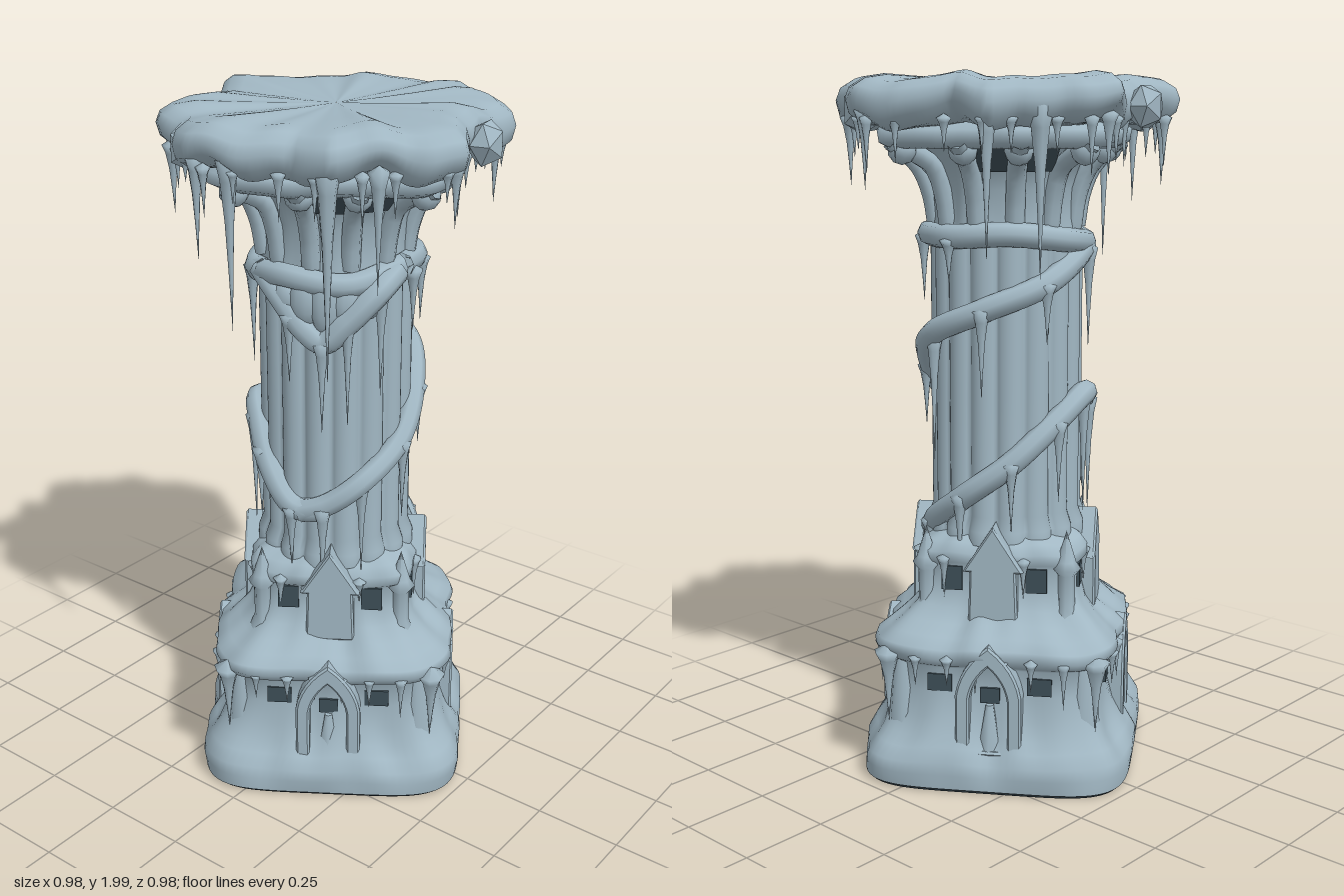
import * as THREE from 'three';
import { mergeGeometries } from 'three/addons/utils/BufferGeometryUtils.js';

const { PI, cos, sin, abs, pow } = Math;
const DEG = PI / 180;
const FACE = 56.5 * DEG; // direction of the first flat side; the others follow every 90 degrees
const CORNER = 11.5 * DEG;

const ice = new THREE.MeshStandardMaterial({ color: 0xa1b7c3 });
ice.name = 'paleIce';
const dark = new THREE.MeshStandardMaterial({ color: 0x3d4e57 });
dark.name = 'darkStone';

let seed = 7;
const rand = () => (seed = (seed * 16807) % 2147483647) / 2147483647;
const lump = (t, y) => sin(7 * t + 9 * y) * 0.5 + sin(12 * t - 14 * y + 1) * 0.3 + sin(19 * t + 2) * 0.2;

// Radius of a rounded square (n around 5) or a circle (n = 2) at angle t
const squircle = (t, s, n) => {
  const a = t - FACE;
  return s / pow(pow(abs(cos(a)), n) + pow(abs(sin(a)), n), 1 / n);
};

// Closed rings stacked upward; at(ring, angle) returns [radius, y]
function loft(rings, at, seg = 128) {
  const pos = [], idx = [];
  rings.forEach((ring, i) => {
    for (let j = 0; j < seg; j++) {
      const t = (j / seg) * 2 * PI, [r, y] = at(ring, t);
      pos.push(r * cos(t), y, r * sin(t));
      if (i === rings.length - 1) continue;
      const a = i * seg + j, b = i * seg + ((j + 1) % seg);
      idx.push(a, a + seg, b, b, a + seg, b + seg);
    }
  });
  const g = new THREE.BufferGeometry();
  g.setAttribute('position', new THREE.Float32BufferAttribute(pos, 3));
  g.setIndex(idx);
  g.computeVertexNormals();
  return g;
}

// Turns a geometry so that its +z faces outward at angle t, then moves it out and up
const place = (g, t, r, y) => g.rotateY(PI / 2 - t).translate(r * cos(t), y, r * sin(t));

// Hanging icicle with a thick root and a thin, slightly crooked tip
function icicle(t, r, top, bottom, w) {
  const h = top - bottom;
  const profile = [[0, -h], [w * 0.22, -h * 0.65], [w * 0.45, -h * 0.35], [w * 0.8, -h * 0.12], [w * 1.2, 0], [0, w * 0.7]];
  const g = new THREE.LatheGeometry(profile.map(([x, y]) => new THREE.Vector2(x, y)), 7);
  return place(g, t, r, top);
}

// Tube along points given as [angle in degrees, radius, y]
function tube(points, radius, seg = 60) {
  const curve = new THREE.CatmullRomCurve3(points.map(([a, r, y]) =>
    new THREE.Vector3(r * cos(a * DEG), y, r * sin(a * DEG))));
  return new THREE.TubeGeometry(curve, seg, radius, 8);
}

// Pointed arch outline
function archPath(shape, w, spring, peak) {
  shape.moveTo(-w, 0);
  shape.lineTo(w, 0);
  shape.lineTo(w, spring);
  shape.quadraticCurveTo(w * 0.85, spring + (peak - spring) * 0.6, 0, peak);
  shape.quadraticCurveTo(-w * 0.85, spring + (peak - spring) * 0.6, -w, spring);
  return shape;
}

// Cap outline as [degrees, radius]; the second half repeats it turned by 180 degrees
const CAP = [[-77.3, 0.5], [-64, 0.47], [-57, 0.44], [-49, 0.475], [-38, 0.484], [-28, 0.43], [-19, 0.4], [-3, 0.41],
  [5, 0.45], [11.5, 0.5], [23, 0.48], [29, 0.45], [45, 0.44], [54, 0.476], [68, 0.42], [86, 0.476], [102.7, 0.5]];
function capRadius(t) {
  const d = (((t / DEG + 77.3) % 180) + 180) % 180 - 77.3;
  const i = Math.max(1, CAP.findIndex(p => p[0] >= d));
  const [a, ra] = CAP[i - 1], [b, rb] = CAP[i];
  return ra + ((rb - ra) * (d - a)) / (b - a);
}

export function createModel() {
  const model = new THREE.Group();
  const add = (name, geos, mat = ice) => {
    const list = [].concat(geos).map(g => (g.index ? g.toNonIndexed() : g));
    const mesh = new THREE.Mesh(list.length > 1 ? mergeGeometries(list) : [].concat(geos)[0], mat);
    mesh.name = name;
    model.add(mesh);
  };
  const sides = [0, 1, 2, 3].map(k => k * PI / 2);

  // Underside and dark lower rim
  add('underside', loft([[0, 0.001], [0, 0.38], [0.012, 0.388]], ([y, s], t) => [squircle(t, s, 5), y]), dark);

  // Two-tier pedestal: [y, half side, squareness, lumpiness]
  const pedestal = [[0.01, 0.389, 5, 0], [0.05, 0.392, 5, 0.006], [0.085, 0.388, 5, 0.012], [0.12, 0.365, 5, 0.016],
    [0.15, 0.345, 5, 0.016], [0.2, 0.325, 5, 0.012], [0.27, 0.312, 5, 0.005], [0.345, 0.312, 5, 0.005],
    [0.36, 0.335, 5, 0.012], [0.385, 0.352, 5, 0.015], [0.41, 0.347, 5, 0.012], [0.435, 0.315, 5, 0.012],
    [0.465, 0.28, 5, 0.015], [0.5, 0.248, 4.5, 0.012], [0.55, 0.23, 4.5, 0.006], [0.615, 0.226, 4.5, 0.004],
    [0.63, 0.242, 4.5, 0.01], [0.66, 0.242, 4.5, 0.01], [0.685, 0.222, 4, 0.01], [0.71, 0.2, 2, 0.004]];
  add('pedestal', loft(pedestal, ([y, s, n, k], t) => [squircle(t, s, n) + k * lump(t, y), y + k * 0.6 * lump(t + 1, y)]));

  // Arched niches, gabled houses and corner pinnacles
  const frames = [], niches = [], patches = [], houses = [], pinnacles = [];
  for (const q of sides) {
    const f = FACE + q, c = CORNER + q;
    const frame = archPath(new THREE.Shape(), 0.088, 0.17, 0.31);
    frame.holes.push(archPath(new THREE.Path(), 0.06, 0.16, 0.265));
    frames.push(place(new THREE.ExtrudeGeometry(frame, { depth: 0.05, bevelEnabled: true, bevelSize: 0.006,
      bevelThickness: 0.006, bevelSegments: 1, curveSegments: 6 }), f, 0.305, 0.11));
    frames.push(place(new THREE.CylinderGeometry(0.012, 0.035, 0.13, 6), f, 0.322, 0.18));
    niches.push(place(new THREE.BoxGeometry(0.055, 0.045, 0.008), f, 0.316, 0.27));
    for (const x of [-0.145, 0.14]) {
      patches.push(place(new THREE.BoxGeometry(0.07, 0.05, 0.008).translate(x, 0, 0), f, 0.312, 0.3));
      patches.push(place(new THREE.BoxGeometry(0.06, 0.07, 0.008).translate(x * 0.85, 0, 0), f, 0.23, 0.585));
    }
    const house = new THREE.Shape();
    [[-0.065, 0], [0.065, 0], [0.06, 0.15], [0.078, 0.15], [0, 0.27], [-0.078, 0.15], [-0.06, 0.15]]
      .forEach(([x, y], i) => (i ? house.lineTo(x, y) : house.moveTo(x, y)));
    houses.push(place(new THREE.ExtrudeGeometry(house, { depth: 0.09, bevelSize: 0.006, bevelThickness: 0.006,
      bevelSegments: 1 }), f, 0.175, 0.47));
    const post = [[0.055, 0], [0.04, 0.05], [0.025, 0.09], [0.025, 0.18], [0.042, 0.2], [0.028, 0.22], [0, 0.31]];
    pinnacles.push(place(new THREE.LatheGeometry(post.map(([x, y]) => new THREE.Vector2(x, y)), 8), c, 0.285, 0.42));
    // Buttress running down the corner below the ledge
    pinnacles.push(place(new THREE.CylinderGeometry(0.03, 0.055, 0.28, 8), c, 0.365, 0.25));
  }
  add('archFrames', frames);
  add('nicheShadows', niches, dark);
  add('wallPatches', patches, dark);
  add('gabledHouses', houses);
  add('cornerPinnacles', pinnacles);

  // Fluted shaft
  add('shaft', loft([0.68, 0.72, 0.76, 1.1, 1.5, 1.56].map(y => [y]),
    ([y], t) => [0.198 + 0.02 * pow(abs(cos(8 * t)), 0.7) + (y < 0.73 ? 0.015 : 0), y], 160));

  // Capital: flared core, dark hollows and curling ribs
  add('capitalCore', loft([[1.54, 0.215], [1.6, 0.205], [1.68, 0.21], [1.75, 0.235], [1.81, 0.29]],
    ([y, r], t) => [r + 0.006 * lump(t, y), y]));
  const ribs = [], hollows = [];
  for (let i = 0; i < 12; i++) {
    const a = 11.5 + i * 30, out = i % 3 ? 0.33 : 0.39;
    ribs.push(tube([[a, 0.2, 1.57], [a, 0.215, 1.66], [a, 0.25, 1.74], [a, out, 1.81]], 0.027, 10));
    ribs.push(place(new THREE.IcosahedronGeometry(0.04, 1), a * DEG, out - 0.04, 1.785));
    if (i % 3 !== 2) hollows.push(place(new THREE.BoxGeometry(0.085, 0.1, 0.008).rotateX(0.65), (a + 15) * DEG, 0.262, 1.77));
  }
  add('capitalRibs', ribs);
  add('capitalHollows', hollows, dark);

  // Square slab under the snow cap
  add('abacus', loft([[1.79, 0.001], [1.79, 0.31], [1.805, 0.335], [1.84, 0.34], [1.87, 0.3]],
    ([y, s], t) => [squircle(t, s, 4) + (s > 0.1 ? 0.012 * lump(t, 2) : 0), y]));

  // Ragged snow cap: [y, scale, droop]
  const cap = [[1.86, 0.001, 0], [1.85, 0.78, 0.01], [1.855, 0.9, 0.03], [1.885, 0.98, 0.03], [1.92, 1, 0.022],
    [1.95, 0.975, 0.015], [1.972, 0.9, 0.014], [1.98, 0.78, 0.014], [1.975, 0.5, 0.008], [1.972, 0.25, 0.003], [1.97, 0.001, 0]];
  add('snowCap', loft(cap, ([y, s, d], t) => [capRadius(t) * s, y + d * lump(t, 1)], 180));
  add('capLumps', [[-13, 0.425, 1.9, 0.065], [167, 0.425, 1.9, 0.065], [-62, 0.42, 1.89, 0.07], [118, 0.42, 1.89, 0.07]]
    .map(([a, r, y, s]) => place(new THREE.IcosahedronGeometry(s, 0).scale(0.95, 1, 0.8), a * DEG, r, y)));

  // Ice bands wound around the shaft
  const R = 0.222;
  add('neckRing', tube([[0, R, 1.56], [45, R, 1.53], [90, R, 1.545], [135, R, 1.525], [180, R, 1.54], [225, R, 1.56],
    [270, R, 1.55], [315, R, 1.55], [360, R, 1.56]], 0.034));
  add('upperBand', tube([[110, R, 1.54], [150, R, 1.51], [200, R, 1.42], [245, R, 1.35], [290, R + 0.02, 1.27], [325, R, 1.16],
    [360, R, 1.04], [395, R + 0.01, 0.95], [420, R, 0.88], [440, R, 0.85]], 0.034, 90));
  add('lowerBand', tube([[60, R, 0.86], [85, R, 0.86], [110, R, 0.95], [135, R, 1.06], [158, R + 0.015, 1.1], [190, R, 1.03],
    [225, R, 0.92], [260, R, 0.82], [300, R, 0.72], [325, R, 0.66]], 0.034, 90));
  add('frontDrape', tube([[5, R, 1.55], [25, R + 0.02, 1.51], [45, R + 0.01, 1.43], [62, R, 1.37], [75, R, 1.4],
    [95, R, 1.48], [120, R, 1.54]], 0.036));
  add('drapeSheet', [30, 45, 60, 75, 90].map((a, i) => place(
    new THREE.SphereGeometry(1, 10, 8).scale(0.045, 0.05 + 0.02 * (2 - abs(i - 2)), 0.03), a * DEG, R, 1.48)));

  // Icicles: large ones on the cap as [degrees, radius, top, bottom, width]
  const big = [[55.5, 0.425, 1.9, 1.32, 0.032], [215.6, 0.41, 1.9, 1.45, 0.032], [90, 0.44, 1.9, 1.44, 0.028],
    [-77, 0.46, 1.89, 1.68, 0.025], [12, 0.46, 1.88, 1.72, 0.022], [192, 0.45, 1.88, 1.72, 0.022], [235, 0.42, 1.88, 1.5, 0.026],
    [103, 0.46, 1.89, 1.62, 0.024], [38, 0.42, 1.88, 1.56, 0.024], [-45, 0.44, 1.87, 1.68, 0.024], [135, 0.44, 1.87, 1.68, 0.024]];
  add('longIcicles', big.map(([a, ...rest]) => icicle(a * DEG, ...rest)));
  const small = [];
  for (let i = 0; i < 26; i++) {
    const t = (i / 26) * 2 * PI + rand() * 0.1;
    small.push(icicle(t, capRadius(t) * 0.93, 1.87, 1.81 - rand() * 0.1, 0.017));
  }
  add('capIcicles', small);

  // Icicles on the pedestal ledges
  const ledge = [];
  for (let i = 0; i < 28; i++) {
    const t = CORNER + (i / 28) * 2 * PI, corner = i % 7 === 0;
    ledge.push(icicle(t, squircle(t, 0.342, 5), 0.38, corner ? 0.17 : 0.33 - rand() * 0.09, corner ? 0.034 : 0.017));
    if (i % 2 === 0) ledge.push(icicle(t, squircle(t, 0.238, 4.5), 0.645, 0.59 - rand() * 0.08, 0.018));
  }
  add('ledgeIcicles', ledge);

  // Icicles on the wound bands
  const hung = [[150, 1.51, 1.22], [200, 1.42, 1.25], [245, 1.35, 1.1], [288, 1.27, 0.9], [325, 1.16, 0.98], [0, 1.04, 0.8],
    [35, 0.95, 0.66], [62, 0.87, 0.6], [85, 0.86, 0.66], [118, 1.0, 0.78], [140, 1.07, 0.72], [160, 1.1, 0.74], [190, 1.03, 0.8],
    [225, 0.92, 0.72], [262, 0.82, 0.6], [300, 0.72, 0.56], [22, 1.51, 1.2], [45, 1.44, 1.12], [62, 1.37, 1.1], [85, 1.44, 1.24],
    [320, 1.54, 1.35], [350, 1.54, 1.36], [270, 1.54, 1.42]];
  add('bandIcicles', hung.map(([a, top, bottom]) => icicle(a * DEG, R + 0.016, top, bottom, 0.022)));

  return model;
}
